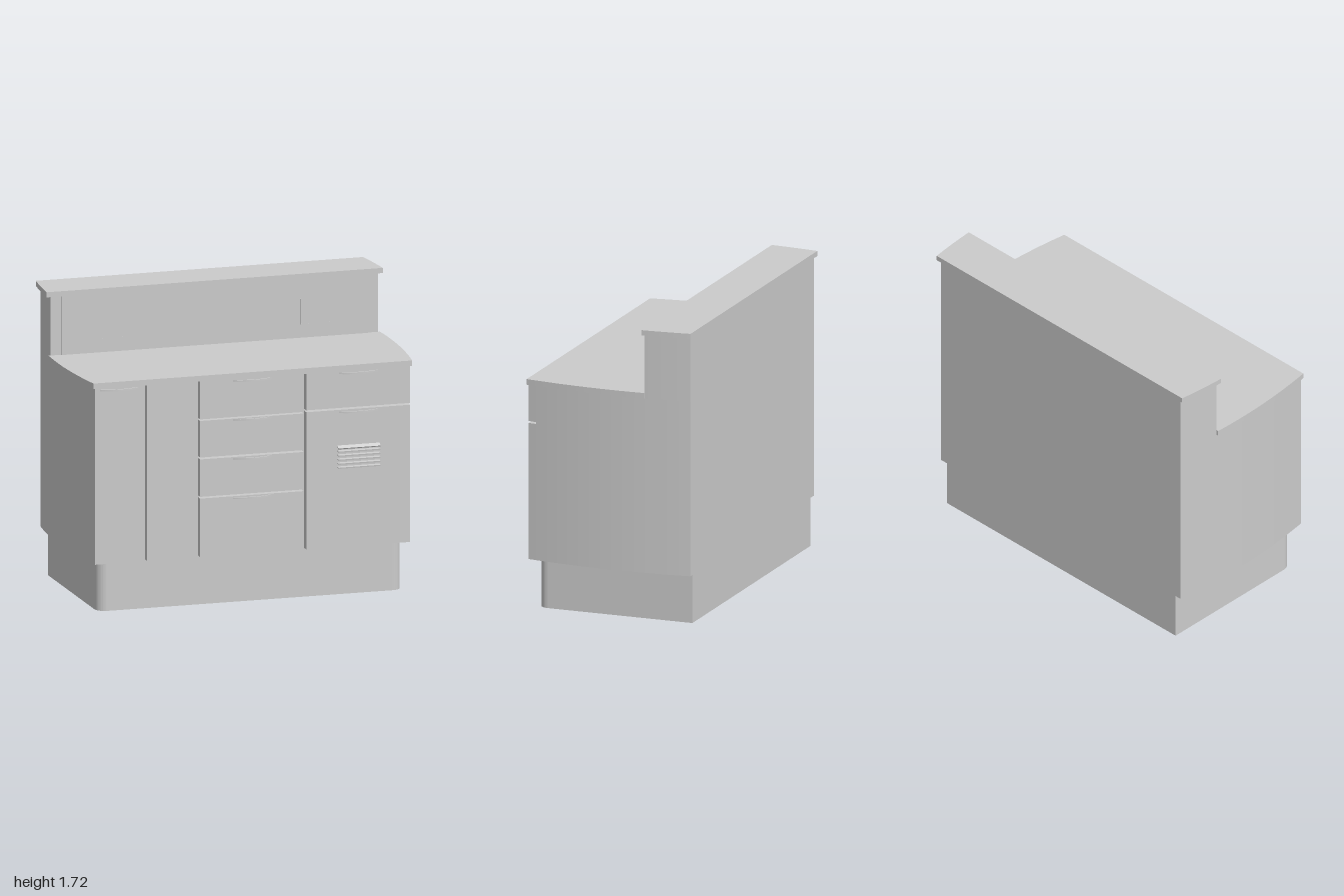
import * as THREE from 'three';

const material = new THREE.MeshStandardMaterial({ color: 0xcccccc });

// Half width of the bowed plan at depth z
const bow = (peak) => (z) => peak - 0.145 * (z + 0.05) ** 2;
const bodyWidth = bow(0.977);
const topWidth = bow(0.989);
const shelfWidth = bow(1.003);

export function createModel() {
  const group = new THREE.Group();
  group.name = 'serviceCounter';

  function add(name, geometry, x = 0, y = 0, z = 0) {
    const mesh = new THREE.Mesh(geometry, material);
    mesh.name = name;
    mesh.position.set(x, y, z);
    group.add(mesh);
    return mesh;
  }

  // Extrudes a plan outline of [x, z] points upwards from y0 to y1
  function addPlan(name, points, y0, y1, x = 0) {
    const shape = new THREE.Shape(points.map(([px, pz]) => new THREE.Vector2(px, -pz)));
    const geometry = new THREE.ExtrudeGeometry(shape, { depth: y1 - y0, bevelEnabled: false });
    geometry.rotateX(-Math.PI / 2);
    return add(name, geometry, x, y0, 0);
  }

  // Slab between two depths; a null side follows the bowed outline
  function addSlab(name, width, z0, z1, y0, y1, left = null, right = null) {
    const n = 14;
    const points = [];
    for (let i = 0; i <= n; i++) {
      const z = z1 + (z0 - z1) * i / n;
      points.push([right ?? width(z), z]);
    }
    for (let i = 0; i <= n; i++) {
      const z = z0 + (z1 - z0) * i / n;
      points.push([left ?? -width(z), z]);
    }
    return addPlan(name, points, y0, y1);
  }

  // Plinth with rounded front corners
  const plinth = [[0.905, -0.5], [-0.905, -0.5]];
  const r = 0.06;
  for (const side of [-1, 1]) {
    for (let i = 0; i <= 10; i++) {
      const a = (side < 0 ? i : 10 - i) / 10 * Math.PI / 2;
      plinth.push([side * (0.905 - r + r * Math.cos(a)), 0.44 - r + r * Math.sin(a)]);
    }
  }
  addPlan('plinth', plinth, 0, 0.285);

  // Carcass, raised back, worktop and upper shelf
  addSlab('carcass', bodyWidth, -0.505, 0.44, 0.285, 1.31);
  addSlab('raisedBack', bodyWidth, -0.505, -0.235, 1.31, 1.685);
  addSlab('worktop', topWidth, -0.235, 0.494, 1.31, 1.343);
  addSlab('upperShelf', shelfWidth, -0.515, -0.227, 1.685, 1.715);
  add('backPanel', new THREE.BoxGeometry(1.82, 0.342, 0.012), 0, 1.514, -0.233);

  // Thin socket trims on the back panel
  for (const x of [-0.71, -0.58, 0.51, 0.64]) {
    add('socketTrim', new THREE.BoxGeometry(0.004, 0.15, 0.002), x, 1.495, -0.227);
    add('socketTrim', new THREE.BoxGeometry(0.055, 0.004, 0.002), x + 0.0255, 1.422, -0.227);
  }

  // Doors and drawers, [left, right, bottom, top]
  const fronts = [
    ['leftDoor', null, -0.64, 0.285, 1.31],
    ['narrowDoor', -0.625, -0.322, 0.285, 1.31],
    ['drawerFront', -0.31, 0.305, 1.087, 1.31],
    ['drawerFront', -0.31, 0.305, 0.865, 1.078],
    ['drawerFront', -0.31, 0.305, 0.636, 0.854],
    ['drawerFront', -0.31, 0.305, 0.285, 0.626],
    ['rightDrawer', 0.32, null, 1.095, 1.31],
    ['rightDoor', 0.32, null, 0.285, 1.084],
  ];
  for (const [name, left, right, y0, y1] of fronts) {
    addSlab(name, bodyWidth, 0.44, 0.486, y0, y1, left, right);
  }

  // Bowed handles
  const outline = [];
  for (let i = 0; i <= 16; i++) {
    const t = -1 + i / 8;
    outline.push([0.12 * t, 0.484 + 0.029 * (1 - t * t)]);
  }
  for (let i = 16; i >= 0; i--) {
    const t = -1 + i / 8;
    outline.push([0.105 * t, 0.482 + 0.021 * (1 - t * t)]);
  }
  const handles = [
    [-0.79, 1.297], [0, 1.297], [0, 1.07], [0, 0.843], [0, 0.615], [0.63, 1.297], [0.63, 1.07],
  ];
  for (const [x, y] of handles) addPlan('handle', outline, y - 0.005, y + 0.005, x);

  // Ventilation louvres
  for (let i = 0; i < 6; i++) {
    const slat = add('ventSlat', new THREE.BoxGeometry(0.25, 0.007, 0.026), 0.63, 0.868 - i * 0.0235, 0.493);
    slat.rotation.x = i === 0 ? 0.6 : 0.15;
  }

  return group;
}
